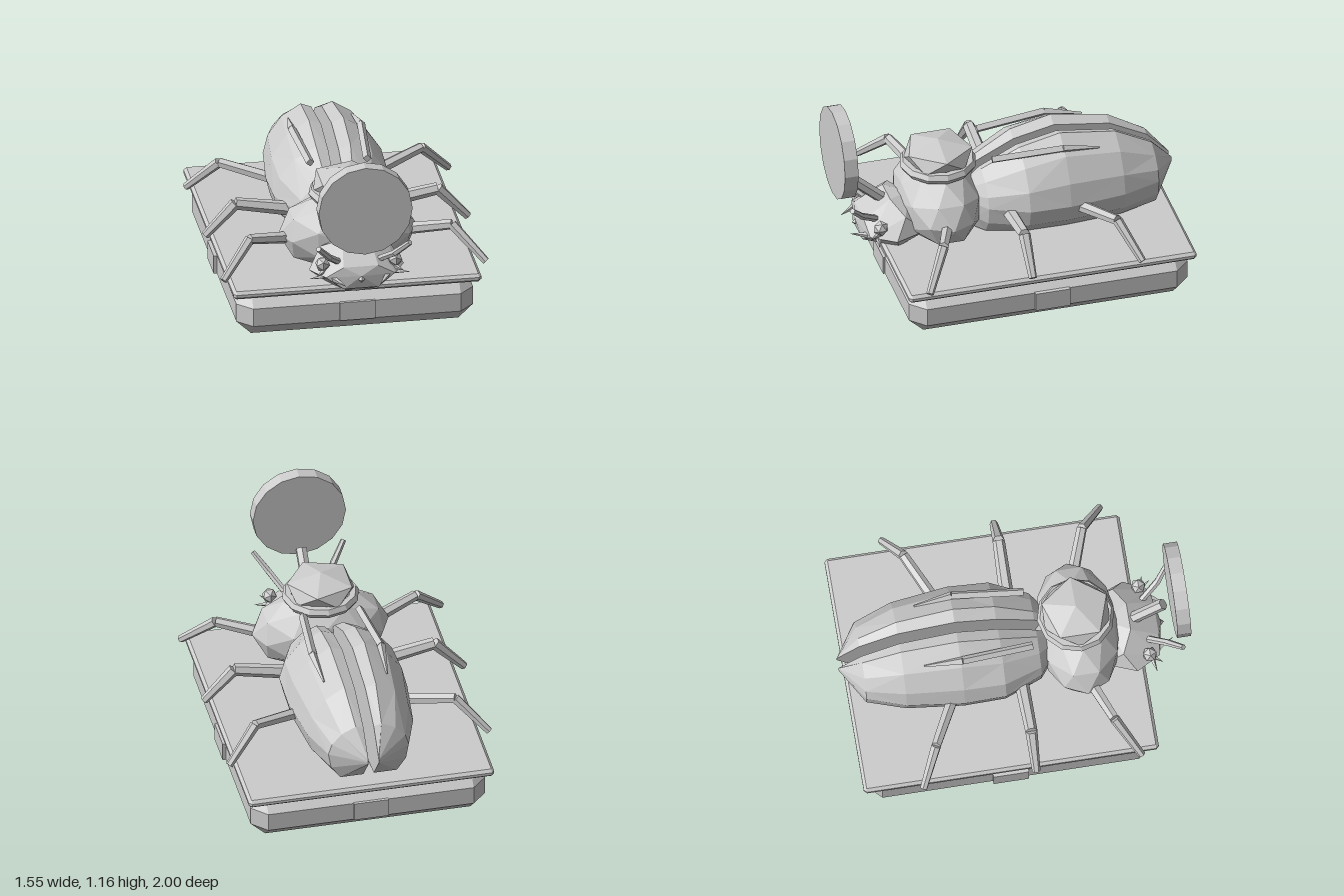
import * as THREE from 'three';
import { ConvexGeometry } from 'three/addons/geometries/ConvexGeometry.js';

const stone = new THREE.MeshStandardMaterial({ color: 0xcccccc });
stone.name = 'paleGrey';
const V = (x, y, z) => new THREE.Vector3(x, y, z);

export function createModel() {
  const model = new THREE.Group();
  model.name = 'scarabOnPlinth';

  // Every part is faceted: split the faces and recompute normals
  function add(name, geo, x = 0, y = 0, z = 0) {
    const g = geo.index ? geo.toNonIndexed() : geo;
    g.computeVertexNormals();
    const mesh = new THREE.Mesh(g, stone);
    mesh.name = name;
    mesh.position.set(x, y, z);
    model.add(mesh);
    return mesh;
  }

  // Closed skin over rings that have equal point counts
  function loft(rings) {
    const n = rings[0].length, pos = [], idx = [];
    rings.forEach(r => r.forEach(p => pos.push(p.x, p.y, p.z)));
    for (let i = 0; i < rings.length - 1; i++) {
      for (let j = 0; j < n; j++) {
        const a = i * n + j, b = i * n + (j + 1) % n, c = b + n, d = a + n;
        if ((i + j) % 2) idx.push(a, b, c, a, c, d);
        else idx.push(a, b, d, b, c, d);
      }
    }
    const e = (rings.length - 1) * n;
    for (let j = 1; j < n - 1; j++) idx.push(0, j + 1, j, e, e + j, e + j + 1);
    const g = new THREE.BufferGeometry();
    g.setAttribute('position', new THREE.Float32BufferAttribute(pos, 3));
    g.setIndex(idx);
    return g;
  }

  // Tapered bar between two points
  function bar(name, a, b, r1, r2, sides = 6) {
    const dir = b.clone().sub(a);
    const g = new THREE.CylinderGeometry(r2, r1, dir.length(), sides);
    g.applyQuaternion(new THREE.Quaternion().setFromUnitVectors(V(0, 1, 0), dir.normalize()));
    const m = a.clone().add(b).multiplyScalar(0.5);
    add(name, g, m.x, m.y, m.z);
  }

  // Jointed limb, mirrored to both sides; points are [x, y, z, radius]
  function limbs(name, pts, sides = 6) {
    for (const s of [1, -1]) {
      for (let i = 0; i < pts.length - 1; i++) {
        const [p, q] = [pts[i], pts[i + 1]];
        bar((s > 0 ? 'left' : 'right') + name, V(s * p[0], p[1], p[2]), V(s * q[0], q[1], q[2]), p[3], q[3], sides);
      }
    }
  }

  // Plinth and lid: chamfered rectangles [half x, half z, corner cut, y]
  const rect = ([x, z, c, y]) => [
    [x, z - c], [x, c - z], [x - c, -z], [c - x, -z],
    [-x, c - z], [-x, z - c], [c - x, z], [x - c, z],
  ].map(p => V(p[0], y, p[1]));
  const bz = -0.11;
  add('plinth', loft([[0.6, 0.74, 0, 0], [0.685, 0.825, 0.085, 0.08],
    [0.685, 0.825, 0.085, 0.19], [0.6, 0.74, 0, 0.268]].map(rect)), 0, 0, bz);
  add('lid', loft([[0.7, 0.835, 0, 0.265], [0.717, 0.852, 0.017, 0.28],
    [0.717, 0.852, 0.017, 0.297], [0.7, 0.835, 0, 0.313]].map(rect)), 0, 0, bz);
  add('frontBackPanels', new THREE.BoxGeometry(0.205, 0.112, 1.675), 0, 0.138, bz);
  add('sidePanels', new THREE.BoxGeometry(1.41, 0.112, 0.205), 0, 0.138, bz);

  // Wing cases: stations [z, outer x, top y, bottom y]
  const stations = [
    [-1.0, 0.035, 0.53, 0.5], [-0.87, 0.235, 0.68, 0.34], [-0.65, 0.31, 0.805, 0.32],
    [-0.32, 0.35, 0.857, 0.32], [-0.08, 0.345, 0.8, 0.32], [0.14, 0.25, 0.68, 0.32], [0.2, 0.17, 0.62, 0.33],
  ];
  const section = [[0, -1], [0, 0.92], [0.22, 1], [0.62, 0.76], [0.9, 0.38], [1, 0], [0.92, -0.55], [0.66, -1]];
  for (const s of [1, -1]) {
    const rings = stations.map(([z, x, top, bottom]) => {
      const ring = section.map(([u, v]) =>
        V(s * (0.03 + (x - 0.03) * u), 0.51 + v * (v > 0 ? top - 0.51 : 0.51 - bottom), z));
      return s > 0 ? ring.reverse() : ring;
    });
    add(s > 0 ? 'leftWingCase' : 'rightWingCase', loft(rings));
  }
  limbs('WingRidge', [[0.165, 0.79, 0.1, 0.024], [0.2, 0.815, -0.31, 0.024], [0.185, 0.775, -0.53, 0.006]], 4);

  // Thorax: scaled sphere cut flat underneath
  const thorax = new THREE.IcosahedronGeometry(1, 1).scale(0.4, 0.24, 0.245);
  const p = thorax.attributes.position;
  for (let i = 0; i < p.count; i++) p.setY(i, Math.max(p.getY(i), -0.18));
  add('thorax', thorax, 0, 0.495, 0.385);

  // Gem in a collar on the thorax
  add('gemCollar', new THREE.TorusGeometry(0.19, 0.033, 6, 12).rotateX(Math.PI / 2), 0, 0.728, 0.375);
  const gem = new THREE.IcosahedronGeometry(1, 0)
    .rotateX(-Math.atan((1 + Math.sqrt(5)) / 2)).rotateY(Math.PI / 2).scale(0.22, 0.09, 0.22);
  add('gem', gem, 0, 0.787, 0.375);

  // Head: half its corners, mirrored
  const corners = [
    [0.08, 0.57, 0.68], [0.2, 0.51, 0.62], [0.275, 0.4, 0.69], [0.2, 0.41, 0.83], [0.1, 0.47, 0.84],
    [0, 0.42, 0.865], [0.1, 0.34, 0.85], [0, 0.25, 0.7], [0.16, 0.295, 0.65], [0.2, 0.4, 0.5],
    [0, 0.3, 0.55], [0, 0.55, 0.55],
  ];
  add('head', new ConvexGeometry(corners.flatMap(([x, y, z]) => x ? [V(x, y, z), V(-x, y, z)] : [V(x, y, z)])));
  add('nose', new THREE.OctahedronGeometry(0.02), 0, 0.4, 0.865);
  for (const s of [1, -1]) {
    add(s > 0 ? 'leftEye' : 'rightEye', new THREE.IcosahedronGeometry(0.045), s * 0.21, 0.47, 0.77);
  }
  limbs('OuterSpike', [[0.19, 0.4, 0.78, 0.02], [0.29, 0.395, 0.8, 0.001]], 4);
  limbs('CheekSpike', [[0.2, 0.43, 0.77, 0.018], [0.25, 0.425, 0.84, 0.001]], 4);
  limbs('Mandible', [[0.16, 0.4, 0.82, 0.02], [0.1, 0.39, 0.92, 0.001]], 4);
  limbs('Antenna', [[0.11, 0.47, 0.76, 0.02], [0.19, 0.56, 0.88, 0.02], [0.265, 0.655, 0.955, 0.016]]);

  // Horn and the sun disc in front of it
  bar('horn', V(0, 0.53, 0.7), V(0, 0.69, 0.88), 0.034, 0.034);
  add('sunDisc', new THREE.CylinderGeometry(0.272, 0.272, 0.08, 16).rotateX(Math.PI / 2), 0, 0.893, 0.96);

  // Three pairs of legs
  limbs('FrontLeg', [[0.3, 0.475, 0.4, 0.036], [0.585, 0.532, 0.505, 0.03], [0.76, 0.345, 0.635, 0.022]]);
  limbs('MiddleLeg', [[0.25, 0.47, 0.02, 0.042], [0.585, 0.532, 0.025, 0.035], [0.76, 0.345, 0.025, 0.024]]);
  limbs('BackLeg', [[0.27, 0.47, -0.37, 0.036], [0.585, 0.532, -0.525, 0.03], [0.76, 0.345, -0.625, 0.022]]);

  return model;
}
